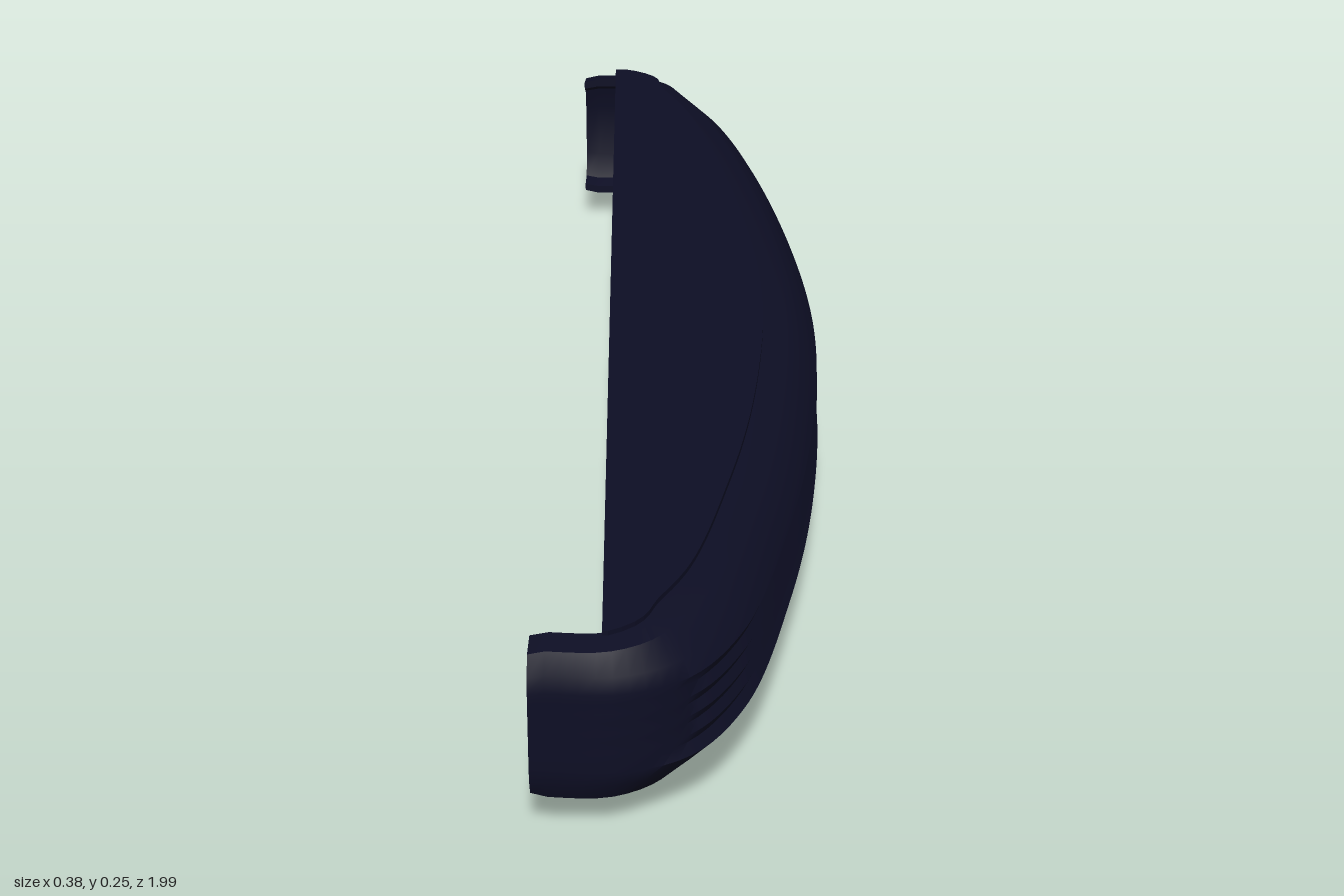
import * as THREE from 'three';
import { toCreasedNormals } from 'three/addons/utils/BufferGeometryUtils.js';

const navy = new THREE.MeshStandardMaterial({ color: 0x0d0e24 });
navy.name = 'darkNavy';

// Outer edge seen from above, as [x, z]
const edge = new THREE.CatmullRomCurve3([
  [-0.19, 0.985], [-0.08, 0.99], [-0.005, 0.955], [0.06, 0.85], [0.125, 0.59], [0.167, 0.32],
  [0.187, 0], [0.167, -0.32], [0.11, -0.69], [0.06, -0.865], [0.012, -0.955], [-0.065, -0.995], [-0.155, -1],
].map(([x, z]) => new THREE.Vector3(x, 0, z)), false, 'centripetal');

// Cross-section: [inset from the edge, height, inset at the hooked ends]
const section = [
  [0.085, 0.243, 0.05], [0.045, 0.238, 0.015], [0.015, 0.212, 0.003], [0.003, 0.192, 0],
  [0.008, 0.18, 0], [0.002, 0.167, 0], [0.008, 0.155, 0], [0.002, 0.142, 0],
  [0.008, 0.13, 0], [0.002, 0.117, 0], [0.008, 0.105, 0], [0, 0.09, 0],
  [0.02, 0.07, 0.002], [0.045, 0.048, 0.012], [0.075, 0.042, 0.035], [0.12, 0.042, 0.06],
  [0.12, 0.054, 0.06], [0.06, 0.06, 0.035], [0.026, 0.1, 0.022], [0.026, 0.185, 0.022],
  [0.055, 0.22, 0.03], [0.085, 0.231, 0.05],
];

// Point on the edge moved inward by an inset
function inset(u, d) {
  const p = edge.getPointAt(u), t = edge.getTangentAt(u);
  return new THREE.Vector3(p.x + t.z * d, 0, p.z - t.x * d);
}

function endBlend(u) {
  return 1 - THREE.MathUtils.smoothstep(Math.min(u, 1 - u), 0.02, 0.11);
}

// Curved shell with ribs, swept along the edge
function shellGeometry() {
  const steps = 120, n = section.length, pos = [], index = [];
  for (let i = 0; i <= steps; i++) {
    const u = i / steps, e = endBlend(u);
    const squash = i === 0 || i === steps ? 0.95 : 1;
    for (const [d, y, dEnd] of section) {
      const p = inset(u, THREE.MathUtils.lerp(d, dEnd, e));
      pos.push(p.x, 0.1425 + (y - 0.1425) * squash, p.z);
    }
  }
  for (let i = 0; i < steps; i++) {
    for (let j = 0; j < n; j++) {
      const a = i * n + j, b = i * n + (j + 1) % n;
      index.push(a, b, a + n, b, b + n, a + n);
    }
  }
  // End caps
  const outline = section.map(([, y, d]) => new THREE.Vector2(d, y));
  for (const [a, b, c] of THREE.ShapeUtils.triangulateShape(outline, [])) {
    const ccw = THREE.ShapeUtils.area([outline[a], outline[b], outline[c]]) > 0;
    const [p, q] = ccw ? [b, c] : [c, b];
    index.push(a, q, p, steps * n + a, steps * n + p, steps * n + q);
  }
  const g = new THREE.BufferGeometry();
  g.setAttribute('position', new THREE.Float32BufferAttribute(pos, 3));
  g.setIndex(index);
  return toCreasedNormals(g, 0.75);
}

// Thin cover with a straight back edge
function coverGeometry() {
  const pts = [];
  for (let i = 0; i <= 100; i++) {
    const u = i / 100;
    const p = inset(u, THREE.MathUtils.lerp(0.078, 0.03, endBlend(u)));
    if (p.x >= -0.105) pts.push(new THREE.Vector2(p.x, -p.z));
  }
  pts.unshift(new THREE.Vector2(-0.105, pts[0].y));
  pts.push(new THREE.Vector2(-0.105, pts[pts.length - 1].y));
  return new THREE.ExtrudeGeometry(new THREE.Shape(pts), { depth: 0.006, bevelEnabled: false })
    .rotateX(-Math.PI / 2).translate(0, 0.249, 0);
}

// Flared peg pointing down
function pegGeometry() {
  const profile = [[0, 0], [0.006, 0.001], [0.008, 0.01], [0.012, 0.022], [0.018, 0.034], [0.03, 0.046]];
  return new THREE.LatheGeometry(profile.map(([r, y]) => new THREE.Vector2(r, y)), 12).scale(1.6, 1, 1);
}

export function createModel() {
  const group = new THREE.Group();
  group.name = 'curvedBar';
  const add = (geometry, name) => {
    const mesh = new THREE.Mesh(geometry, navy);
    mesh.name = name;
    group.add(mesh);
    return mesh;
  };
  add(shellGeometry(), 'curvedShell');
  add(coverGeometry(), 'topCover');

  // Row of pegs under the lower lip
  const peg = pegGeometry();
  for (let i = 0; i < 12; i++) {
    const z = 0.855 - i * 0.1542;
    let lo = 0, hi = 1;
    for (let k = 0; k < 30; k++) {
      const mid = (lo + hi) / 2;
      if (inset(mid, 0.1).z > z && mid < 0.95 || mid < 0.06) lo = mid; else hi = mid;
    }
    const mesh = add(peg, 'peg');
    const t = edge.getTangentAt(lo);
    mesh.position.copy(inset(lo, 0.098));
    mesh.rotation.y = Math.atan2(-t.x, -t.z);
  }
  return group;
}
